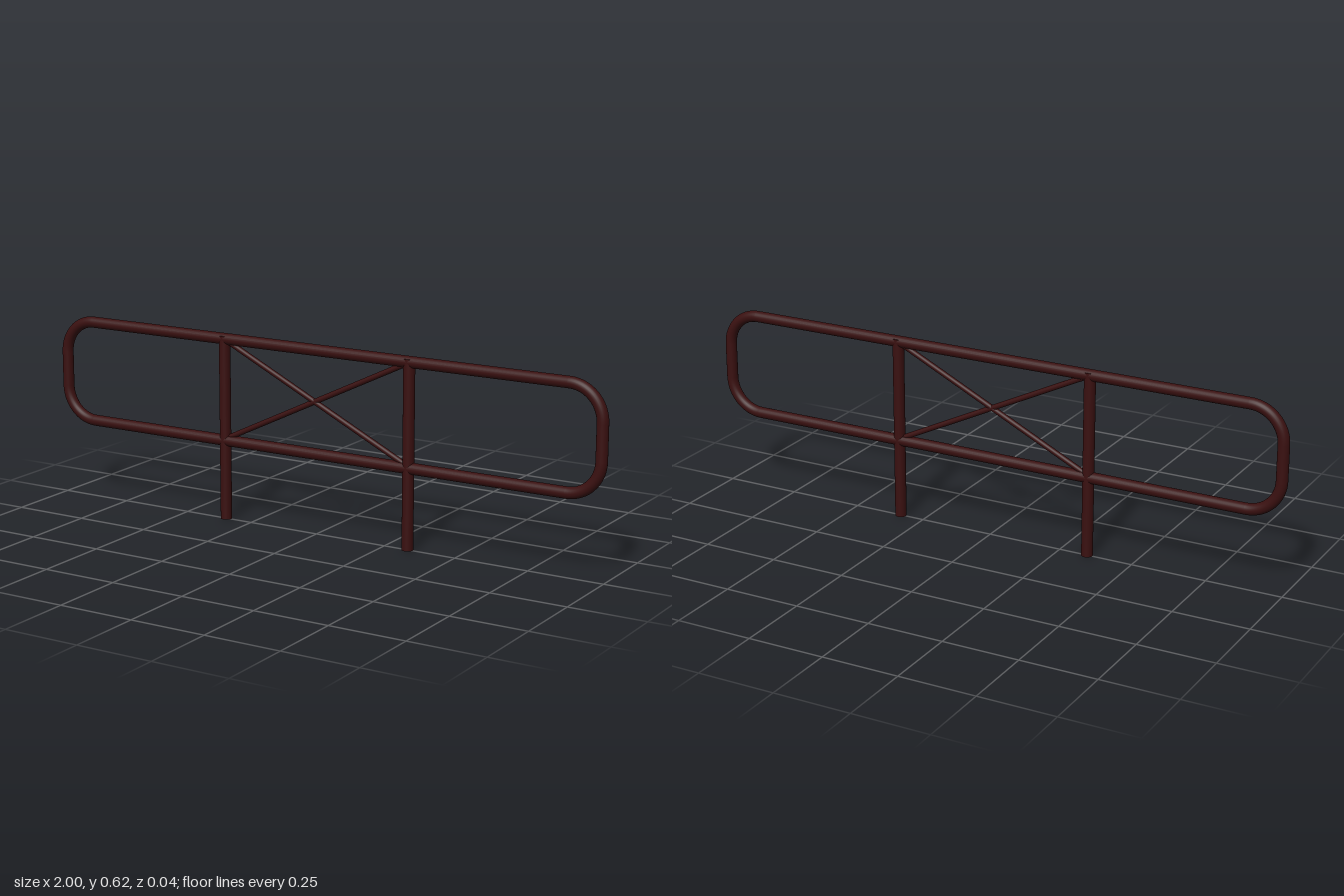
import * as THREE from 'three';

const material = new THREE.MeshStandardMaterial({ color: 0x3a1010 });
const R = 0.0185;                    // main tube radius
const HALF = 0.9815;                 // loop half width (centreline)
const LOW = 0.2635, HIGH = 0.5995;   // loop bottom and top (centreline)
const BEND = 0.11;                   // corner bend radius

// Round bar between two points in the z = 0 plane
function bar(name, x1, y1, x2, y2, radius, open = false) {
  const a = new THREE.Vector3(x1, y1, 0), b = new THREE.Vector3(x2, y2, 0);
  const dir = b.clone().sub(a);
  const mesh = new THREE.Mesh(new THREE.CylinderGeometry(radius, radius, dir.length(), 24, 1, open), material);
  mesh.name = name;
  mesh.position.copy(a).add(b).multiplyScalar(0.5);
  mesh.quaternion.setFromUnitVectors(new THREE.Vector3(0, 1, 0), dir.normalize());
  return mesh;
}

export function createModel() {
  const model = new THREE.Group();
  model.name = 'barrierRail';

  // Rounded rectangular loop: straight rails and ends joined by quarter bends
  const loop = new THREE.Group();
  loop.name = 'railLoop';
  const cx = HALF - BEND, cyLow = LOW + BEND, cyHigh = HIGH - BEND;
  loop.add(bar('topRail', -cx, HIGH, cx, HIGH, R, true));
  loop.add(bar('bottomRail', -cx, LOW, cx, LOW, R, true));
  loop.add(bar('leftEnd', HALF, cyLow, HALF, cyHigh, R, true));
  loop.add(bar('rightEnd', -HALF, cyLow, -HALF, cyHigh, R, true));
  const corners = [[cx, cyHigh], [-cx, cyHigh], [-cx, cyLow], [cx, cyLow]];
  corners.forEach(([x, y], i) => {
    const bend = new THREE.Mesh(new THREE.TorusGeometry(BEND, R, 24, 16, Math.PI / 2), material);
    bend.name = 'cornerBend';
    bend.position.set(x, y, 0);
    bend.rotation.z = i * Math.PI / 2;
    loop.add(bend);
  });
  model.add(loop);

  // Posts standing on the ground
  const postRight = -0.346, postLeft = 0.333;
  model.add(bar('rightPost', postRight, 0, postRight, 0.61, R));
  model.add(bar('leftPost', postLeft, 0, postLeft, 0.61, R));

  // Thin crossed braces between the posts
  model.add(bar('brace', postRight, 0.598, postLeft, 0.268, 0.009));
  model.add(bar('brace', postRight, 0.268, postLeft, 0.598, 0.009));
  return model;
}
